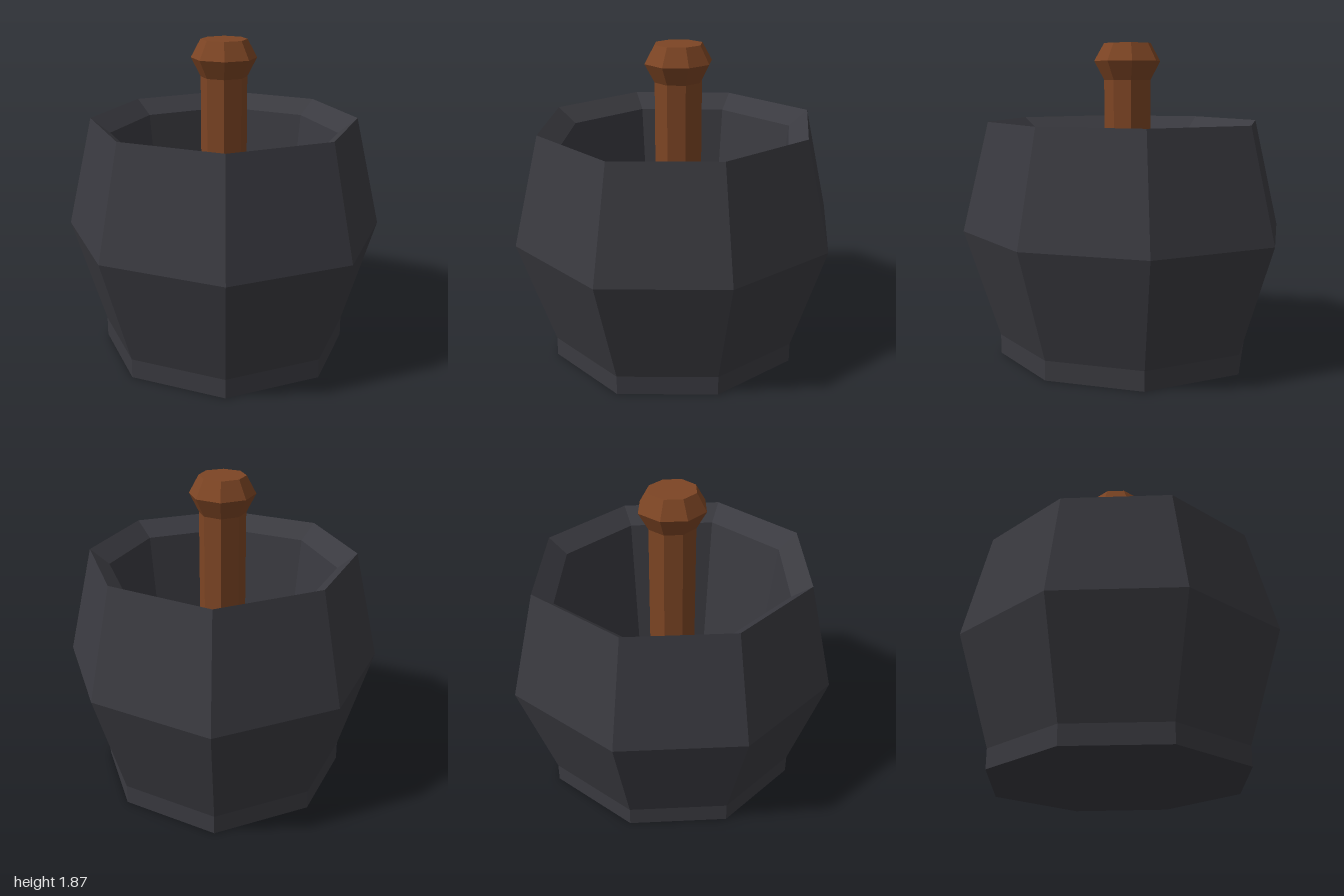
import * as THREE from 'three';

// Slightly uneven eight-sided cross-section shared by every part (x, z)
const RING = [
  [0.01, -1], [0.69, -0.66], [0.937, 0.025], [0.69, 0.71],
  [0.01, 1], [-0.67, 0.71], [-0.937, 0.025], [-0.67, -0.66],
];

// Sweeps a [scale, height] profile around the ring; scale 0 closes the end
function loft(profile) {
  const pos = [];
  const point = (i, j) => {
    const [s, y] = profile[i];
    const [x, z] = RING[j % RING.length];
    return [x * s, y, z * s];
  };
  for (let i = 0; i < profile.length - 1; i++) {
    for (let j = 0; j < RING.length; j++) {
      const a = point(i, j), b = point(i, j + 1);
      const c = point(i + 1, j), d = point(i + 1, j + 1);
      if (profile[i][0] > 0) pos.push(...b, ...a, ...c);
      if (profile[i + 1][0] > 0) pos.push(...b, ...c, ...d);
    }
  }
  const geo = new THREE.BufferGeometry();
  geo.setAttribute('position', new THREE.Float32BufferAttribute(pos, 3));
  geo.computeVertexNormals();
  return geo;
}

export function createModel() {
  const group = new THREE.Group();
  const stone = new THREE.MeshStandardMaterial({ name: 'dark stone', color: 0x3a3a40, flatShading: true });
  const wood = new THREE.MeshStandardMaterial({ name: 'brown wood', color: 0x7d4524, flatShading: true });

  const add = (name, profile, material) => {
    const mesh = new THREE.Mesh(loft(profile), material);
    mesh.name = name;
    group.add(mesh);
  };

  // Bowl: foot, bulging wall, sharp rim, bevelled lip and hollow inside
  add('mortarBowl', [
    [0, 0], [0.79, 0], [0.79, 0.115], [1, 0.76], [0.84, 1.41],
    [0.72, 1.32], [0.565, 0.1], [0, 0.1],
  ], stone);

  // Pestle: straight shaft standing on the floor, flared knob on top
  add('pestle', [
    [0, 0.1], [0.145, 0.1], [0.145, 1.655], [0.205, 1.765], [0.145, 1.87], [0, 1.87],
  ], wood);

  return group;
}
